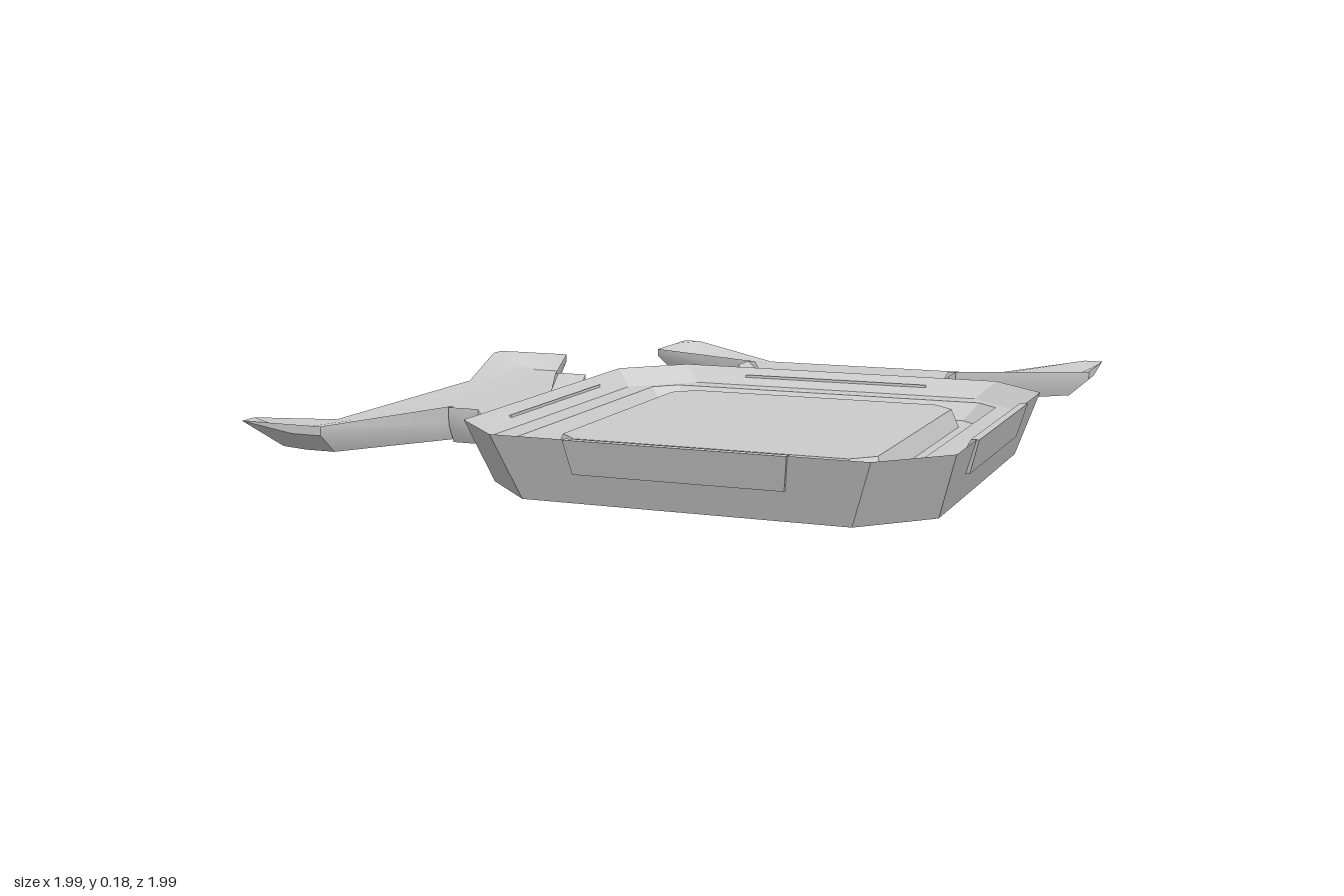
import * as THREE from 'three';
import { toCreasedNormals } from 'three/addons/utils/BufferGeometryUtils.js';

const C = 0.2425; // centre of the tray in x and z

// Skin a list of equal-length rings, closing the ends with fans
function loft(rings, capEnd = true) {
  const n = rings[0].length, idx = [];
  for (let r = 0; r < rings.length - 1; r++) {
    for (let j = 0; j < n; j++) {
      const a = r * n + j, b = r * n + (j + 1) % n;
      idx.push(a, b, b + n, a, b + n, a + n);
    }
  }
  const last = (rings.length - 1) * n;
  for (let j = 1; j < n - 1; j++) {
    idx.push(0, j + 1, j);
    if (capEnd) idx.push(last, last + j, last + j + 1);
  }
  const g = new THREE.BufferGeometry();
  g.setAttribute('position', new THREE.Float32BufferAttribute(rings.flat(2), 3));
  g.setIndex(idx);
  return toCreasedNormals(g, 0.45);
}

// Square of half size h with corners cut by c, at height y
function octagon(h, c, y) {
  const k = h - c;
  return [[-k, h], [k, h], [h, k], [h, -k], [k, -h], [-k, -h], [-h, -k], [-h, k]]
    .map(([x, z]) => [x, y, z]);
}

// Four-cornered ring: half width h, back edge z0 at height y0, front edge z1 at height y1
function quad(h, z0, y0, z1, y1) {
  return [[-h, y1, z1], [h, y1, z1], [h, y0, z0], [-h, y0, z0]];
}

// Trough-shaped wing section at distance v from the tray axis:
// floor corner [a, ya], lip [b, yr], lower lip [b, yb], underside corner [d, yd].
// t moves it toward the concave outer edge; topMid and lowMid are the heights in the middle.
function section(v, a, ya, b, yr, yb, d, yd, t = 0, topMid = ya, lowMid = yd) {
  const m = Math.min(0.395, a * 0.57);
  const half = [[a, ya], [b, yr], [b, yb], [d, yd], [m, lowMid]];
  const mirrored = half.map(([u, y]) => [-u, y]).reverse();
  return [...half, ...mirrored, [-m, topMid], [m, topMid]].map(([u, y]) => {
    const edge = Math.abs(u) > 0.5 ? 1 : 0.93;
    return [u, y, -(v + t * (edge - v))];
  });
}

export function createModel() {
  const model = new THREE.Group();
  const mat = new THREE.MeshStandardMaterial({ color: 0xcccccc });
  const add = (parent, name, geo) => {
    const mesh = new THREE.Mesh(geo, mat);
    mesh.name = name;
    parent.add(mesh);
  };

  // Tray: hollowed underside, flared wall, sloped rim, groove and raised pad
  const tray = new THREE.Group();
  tray.name = 'tray';
  tray.position.set(C, 0, C);
  const profile = [
    [0.36, 0.13, 0.04], [0.63, 0.175, 0], [0.688, 0.17, 0.18], [0.633, 0.17, 0.13],
    [0.56, 0.065, 0.13], [0.515, 0.06, 0.08], [0.47, 0.065, 0.08], [0.45, 0.06, 0.135],
  ];
  add(tray, 'trayBody', loft(profile.map((p) => octagon(...p))));
  model.add(tray);

  // Blanking panels on the two free sides
  const panelGeo = loft([
    quad(0.29, 0.62, 0.085, 0.668, 0.085),
    quad(0.305, 0.673, 0.18, 0.695, 0.18),
  ]);
  for (const [name, turn] of [['frontPanel', 0], ['leftPanel', Math.PI / 2]]) {
    const holder = new THREE.Group();
    holder.name = name;
    holder.rotation.y = turn;
    add(holder, name + 'Plate', panelGeo);
    tray.add(holder);
  }

  // Trough-shaped wings with neck and shoulder, on the back and right sides
  const neckGeo = loft([
    quad(0.315, -0.5, 0.085, -0.41, 0.085),
    quad(0.3, -0.5, 0.13, -0.415, 0.16),
  ]);
  const wingGeo = loft([
    section(0.49, 0.3, 0.13, 0.355, 0.13, 0.13, 0.33, 0.075),
    section(0.49, 0.3, 0.13, 0.355, 0.18, 0.13, 0.33, 0.075),
    section(0.585, 0.3, 0.13, 0.355, 0.18, 0.13, 0.33, 0.075),
    section(0.585, 0.3, 0.13, 0.33, 0.18, 0.13, 0.3, 0.08),
    section(0.75, 0.695, 0.13, 0.752, 0.18, 0.155, 0.69, 0.1),
    section(0.84, 0.695, 0.13, 0.752, 0.18, 0.155, 0.69, 0.1),
    section(0.84, 0.695, 0.15, 0.752, 0.18, 0.166, 0.69, 0.105, 0.45, 0.13, 0.105),
    section(0.84, 0.695, 0.18, 0.752, 0.18, 0.18, 0.69, 0.18, 1, 0.13, 0.13),
  ], false);
  for (const [name, turn, x, z] of [['backWing', 0, C, 0], ['rightWing', Math.PI / 2, 0, C]]) {
    const wing = new THREE.Group();
    wing.name = name;
    wing.position.set(x, 0, z);
    wing.rotation.y = turn;
    add(wing, name + 'Neck', neckGeo);
    add(wing, name + 'Plate', wingGeo);
    model.add(wing);
  }
  return model;
}
